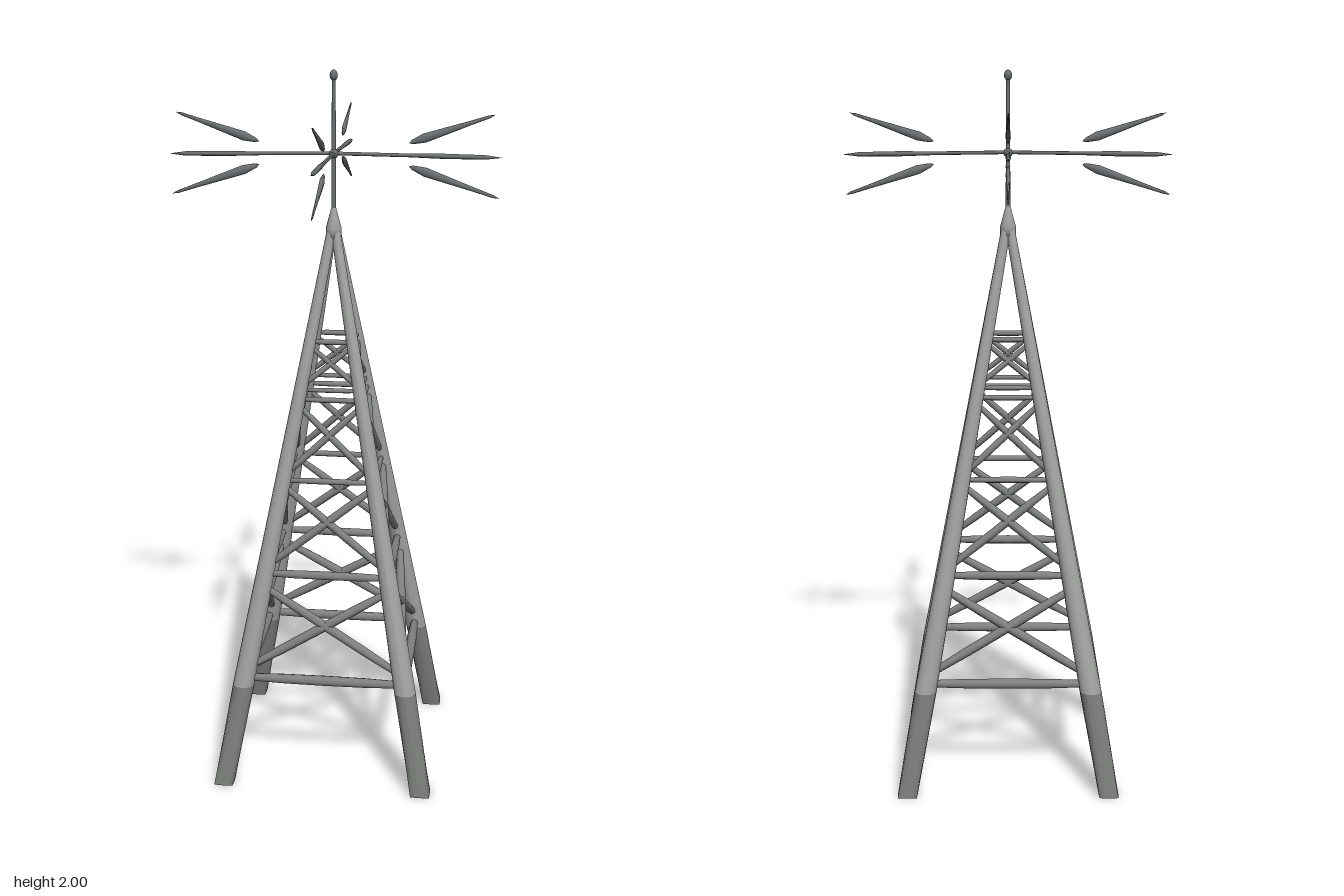
import * as THREE from 'three';

const paint = (name, color) => {
  const m = new THREE.MeshStandardMaterial({ color });
  m.name = name;
  return m;
};

export function createModel() {
  const legGrey = paint('light steel', 0xa0a2a0);
  const footGrey = paint('dark steel', 0x7a7c7a);
  const braceGrey = paint('brace steel', 0x7f8280);
  const mastGrey = paint('antenna grey', 0x6c7173);

  const tower = new THREE.Group();
  tower.name = 'latticeTower';
  const UP = new THREE.Vector3(0, 1, 0);
  // distance of the leg centre line from the axis at height y
  const spread = y => 0.284 * (1 - y / 1.6);

  const add = (parent, name, geo, mat) => {
    const m = new THREE.Mesh(geo, mat);
    m.name = name;
    parent.add(m);
    return m;
  };

  // spindle from a to b; profile is a list of [fraction along, radius]
  const spindle = (parent, name, a, b, profile, mat, sides = 8) => {
    const dir = b.clone().sub(a), len = dir.length();
    const pts = profile.map(([t, r]) => new THREE.Vector2(r, t * len));
    const m = add(parent, name, new THREE.LatheGeometry(pts, sides), mat);
    m.position.copy(a);
    m.quaternion.setFromUnitVectors(UP, dir.normalize());
    return m;
  };

  // leg section: leans inwards, square at the ground and round higher up
  const legPart = (name, y0, y1, r0, r1, sx, sz, mat) => {
    const geo = new THREE.CylinderGeometry(r1, r0, y1 - y0, 16, 4);
    geo.translate(0, (y0 + y1) / 2, 0);
    const p = geo.attributes.position;
    for (let i = 0; i < p.count; i++) {
      const x = p.getX(i), y = p.getY(i), z = p.getZ(i);
      const d = Math.hypot(x, z), m = Math.max(Math.abs(x), Math.abs(z));
      const square = Math.max(0, 1 - y / 0.32) * 0.85;
      const k = m > 1e-6 ? 1 + (d / m - 1) * square : 1;
      p.setXYZ(i, x * k + sx * spread(y), y, z * k + sz * spread(y));
    }
    geo.computeVertexNormals();
    add(tower, name, geo, mat);
  };

  for (const sx of [-1, 1]) for (const sz of [-1, 1]) {
    legPart('foot', 0, 0.29, 0.028, 0.031, sx, sz, footGrey);
    legPart('leg', 0.29, 1.58, 0.031, 0.013, sx, sz, legGrey);
  }

  // bracing on each of the four faces
  const levels = [[0.31, 0.015], [0.612, 0.013], [0.878, 0.009], [1.105, 0.008], [1.132, 0.007], [1.265, 0.008]];
  const panels = [[0.335, 0.575, 0.014], [0.63, 0.865, 0.012], [0.89, 1.09, 0.01], [1.14, 1.255, 0.008]];
  const taper = r => [[0, 0], [0, r * 0.7], [0.25, r * 0.95], [0.5, r], [0.75, r * 0.95], [1, r * 0.7], [1, 0]];
  for (let f = 0; f < 4; f++) {
    const face = new THREE.Group();
    face.name = 'bracedFace';
    face.rotation.y = f * Math.PI / 2;
    const at = (s, y) => new THREE.Vector3(s * spread(y), y, spread(y));
    for (const [y, r] of levels) spindle(face, 'crossbar', at(-1, y), at(1, y), taper(r), braceGrey);
    for (const [y0, y1, r] of panels) for (const s of [-1, 1])
      spindle(face, 'diagonalBrace', at(s, y0), at(-s, y1), taper(r), braceGrey);
    tower.add(face);
  }

  // peak, mast and ball
  const profile = pts => new THREE.LatheGeometry(pts.map(([r, y]) => new THREE.Vector2(r, y)), 12);
  add(tower, 'peak', profile([[0, 1.53], [0.022, 1.55], [0.022, 1.575], [0.015, 1.6], [0.007, 1.63], [0, 1.64]]), legGrey);
  add(tower, 'mast', profile([[0.007, 1.6], [0.006, 1.74], [0.006, 1.8], [0.005, 1.98]]), mastGrey);
  const ball = add(tower, 'mastBall', new THREE.SphereGeometry(0.011, 12, 8), mastGrey);
  ball.position.y = 1.985;
  ball.scale.y = 1.35;
  add(tower, 'hub', new THREE.SphereGeometry(0.013, 12, 8), mastGrey).position.y = 1.777;

  // four arms, each with a floating blade above and below
  const armShape = [[0, 0.005], [0.45, 0.005], [0.65, 0.007], [0.9, 0.006], [1, 0]];
  const bladeShape = [[0, 0], [0.04, 0.006], [0.18, 0.0125], [0.35, 0.0105], [0.7, 0.006], [0.93, 0.004], [1, 0]];
  for (let i = 0; i < 4; i++) {
    const arm = new THREE.Group();
    arm.name = 'antennaArm';
    arm.rotation.y = i * Math.PI / 2;
    const v = (x, y) => new THREE.Vector3(x, y, 0);
    spindle(arm, 'rod', v(0, 1.778), v(0.457, 1.772), armShape, mastGrey);
    spindle(arm, 'upperBlade', v(0.205, 1.808), v(0.435, 1.885), bladeShape, mastGrey).scale.z = 0.55;
    spindle(arm, 'lowerBlade', v(0.205, 1.746), v(0.452, 1.662), bladeShape, mastGrey).scale.z = 0.55;
    tower.add(arm);
  }

  tower.position.set(-0.005, 0, -0.005);
  const model = new THREE.Group();
  model.name = 'radioTower';
  model.add(tower);
  return model;
}
